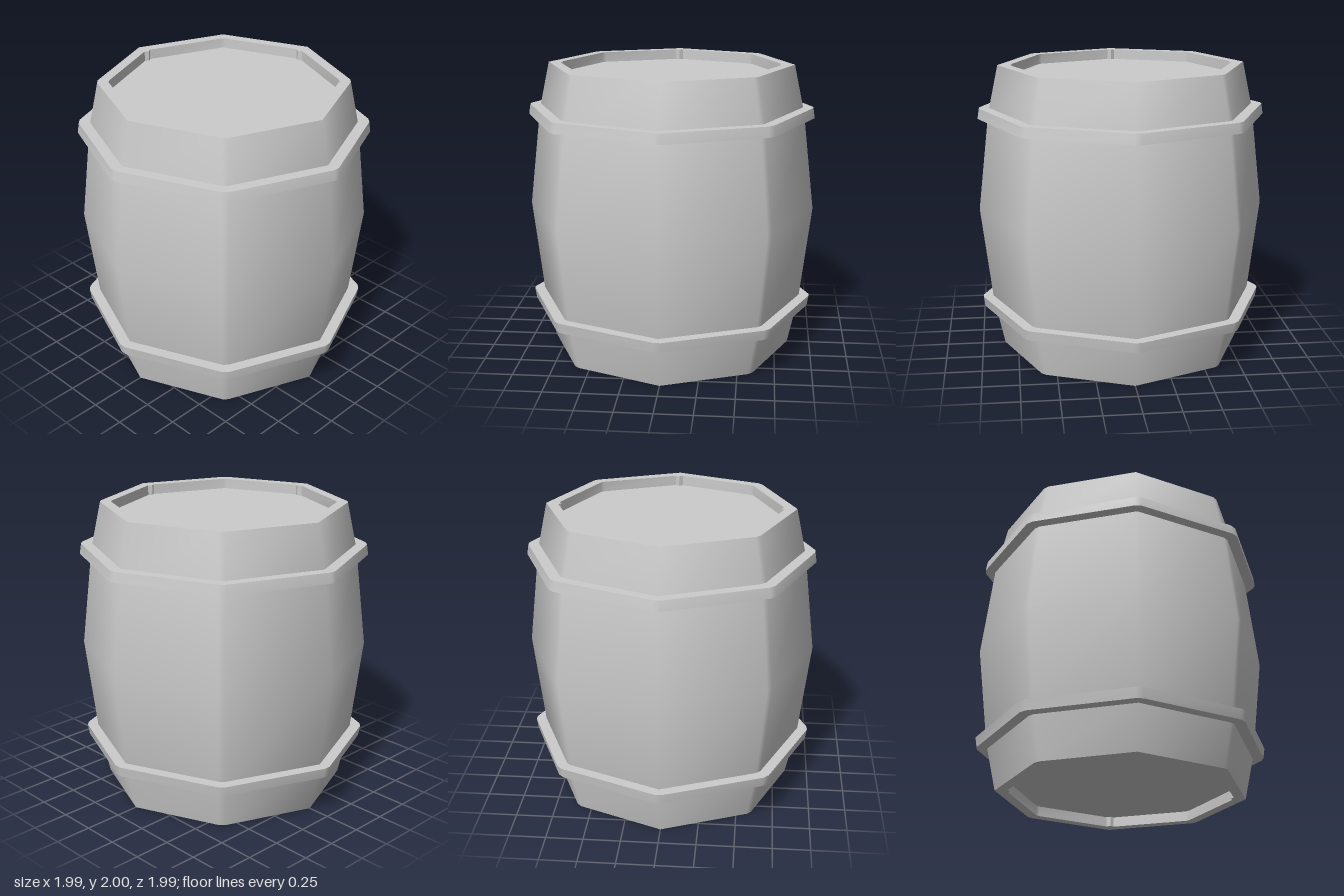
import * as THREE from 'three';
import { toCreasedNormals } from 'three/addons/utils/BufferGeometryUtils.js';

const SLOPE = Math.tan(Math.PI / 8);
const material = new THREE.MeshStandardMaterial({ color: 0xcccccc });

// Octagon outline with corners on the axes, as [x, y] points.
// axisCut / diagCut: half-width of the corner bevel; notch: depth of an inward V on the axis corners.
function octagon(r, { axisCut = 0, diagCut = 0, notch = 0 }) {
  const points = [];
  for (let i = 0; i < 8; i++) {
    const a = (i * Math.PI) / 4, cut = i % 2 ? diagCut : axisCut;
    const add = (radius, t) => points.push(new THREE.Vector2(
      radius * Math.cos(a) - t * Math.sin(a), radius * Math.sin(a) + t * Math.cos(a)));
    if (!cut) { add(r, 0); continue; }
    add(r - cut * SLOPE, -cut);
    if (notch && i % 2 === 0) add(r - notch, 0);
    add(r - cut * SLOPE, cut);
  }
  return points;
}

// Skin over octagon rings, following a profile of [radius, height]
function loft(profile, style) {
  const positions = [], index = [];
  let n = 0;
  profile.forEach(([r, y]) => {
    const ring = octagon(r, style);
    n = ring.length;
    ring.forEach((p) => positions.push(p.x, y, -p.y));
  });
  for (let j = 0; j < profile.length - 1; j++) {
    for (let i = 0; i < n; i++) {
      const a = j * n + i, b = j * n + ((i + 1) % n);
      index.push(a, b, b + n, a, b + n, a + n);
    }
  }
  const geometry = new THREE.BufferGeometry();
  geometry.setAttribute('position', new THREE.Float32BufferAttribute(positions, 3));
  geometry.setIndex(index);
  return toCreasedNormals(geometry, THREE.MathUtils.degToRad(50));
}

// Flat face turned to look up or down
function flat(shape, y, up) {
  return new THREE.ShapeGeometry(shape).rotateX(up ? -Math.PI / 2 : Math.PI / 2).translate(0, y, 0);
}

export function createModel() {
  const model = new THREE.Group();
  const add = (name, geometry) => {
    const mesh = new THREE.Mesh(geometry, material);
    mesh.name = name;
    model.add(mesh);
  };

  const bodyStyle = { diagCut: 0.02 };
  const recessStyle = { axisCut: 0.025, diagCut: 0.015, notch: 0.027 };
  const hoopStyle = { axisCut: 0.022, diagCut: 0.025 };
  const rimR = 0.842, recessR = 0.765, depth = 0.07;

  // Bulging staves
  add('staves', loft([[rimR, 0], [0.914, 0.33], [0.993, 1], [0.914, 1.67], [rimR, 2]], bodyStyle));

  // Rim, recess wall and sunken lid at each end
  for (const up of [true, false]) {
    const end = up ? 'top' : 'bottom';
    const rimY = up ? 2 : 0, lidY = up ? 2 - depth : depth;
    const rim = new THREE.Shape(octagon(rimR, bodyStyle));
    rim.holes.push(new THREE.Path(octagon(recessR, recessStyle)));
    add(end + 'Rim', flat(rim, rimY, up));
    add(end + 'RecessWall', loft([[recessR, Math.max(rimY, lidY)], [recessR, Math.min(rimY, lidY)]], recessStyle));
    add(end + 'Lid', flat(new THREE.Shape(octagon(recessR, recessStyle)), lidY, up));
  }

  // Hoops, flaring slightly toward the middle
  add('lowerHoop', loft([[0.87, 0.29], [0.984, 0.29], [0.995, 0.36], [0.87, 0.36]], hoopStyle));
  add('upperHoop', loft([[0.87, 1.64], [0.995, 1.64], [0.984, 1.71], [0.87, 1.71]], hoopStyle));

  return model;
}
